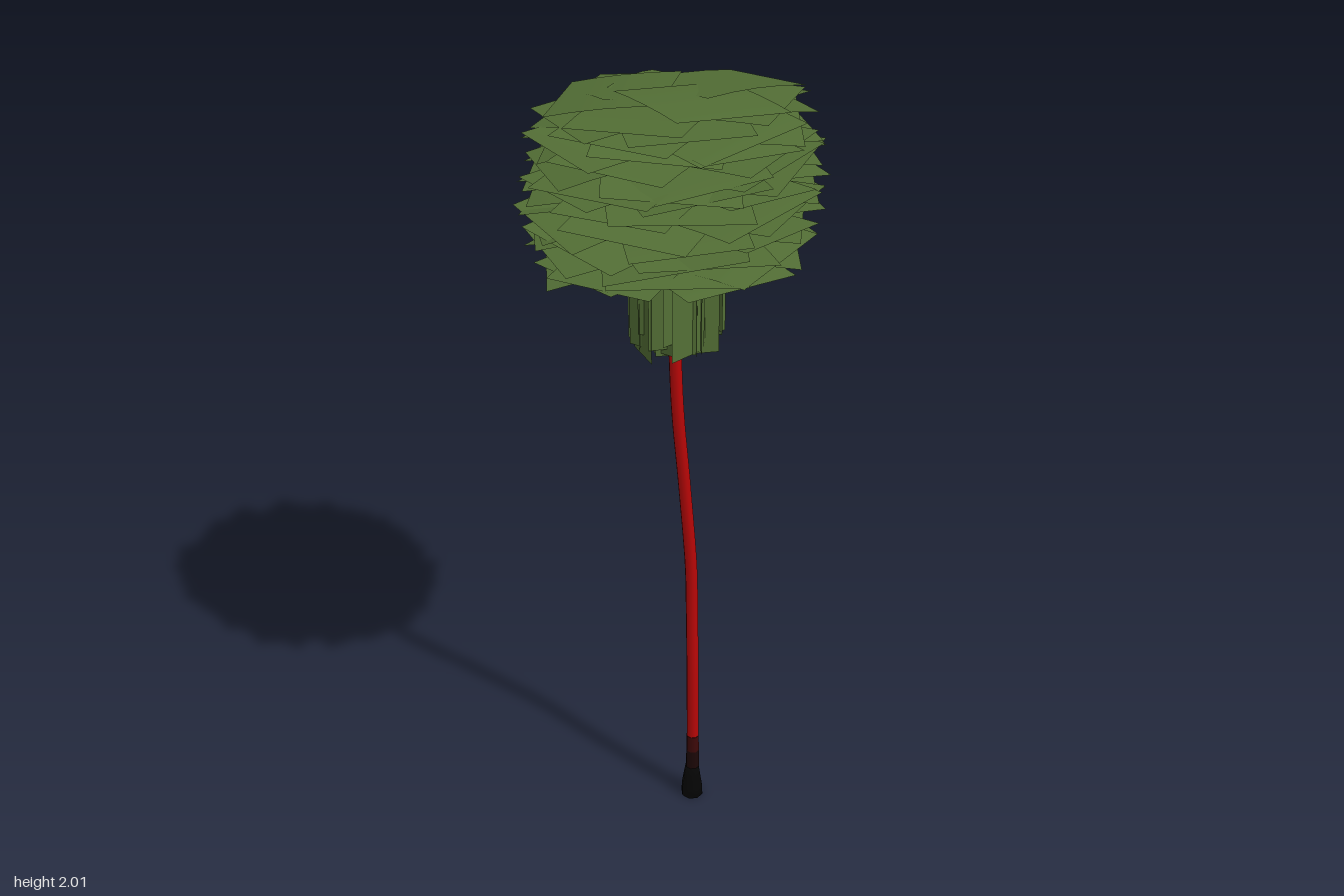
import * as THREE from 'three';

const mat = (name, color, side = THREE.FrontSide) => {
  const m = new THREE.MeshStandardMaterial({ color, side });
  m.name = name;
  return m;
};

// Small seeded generator so the foliage is always the same
function seeded(seed) {
  return () => {
    seed = (seed * 1664525 + 1013904223) % 4294967296;
    return seed / 4294967296;
  };
}

// Squarish leaf sheet running from the stem out along +z, raised by pitch, its tip bent down
function leafGeometry(width, length, droop, pitch) {
  const geo = new THREE.PlaneGeometry(width, length, 1, 4);
  geo.rotateX(-Math.PI / 2);
  geo.translate(0, 0, length / 2);
  const p = geo.attributes.position;
  for (let i = 0; i < p.count; i++) p.setY(i, -droop * (p.getZ(i) / length) ** 2);
  geo.rotateX(-pitch);
  geo.computeVertexNormals();
  return geo;
}

export function createModel() {
  const leafGreen = mat('leaf green', 0x547036, THREE.DoubleSide);
  const barkRed = mat('bark red', 0xb80707);
  const barkMaroon = mat('bark maroon', 0x3e0808);
  const barkDark = mat('dark bark', 0x1c0606);
  const rootBlack = mat('root black', 0x050505);
  const model = new THREE.Group();
  model.name = 'tree';
  const rand = seeded(17);

  const add = (parent, name, geo, material) => {
    const mesh = new THREE.Mesh(geo, material);
    mesh.name = name;
    parent.add(mesh);
    return mesh;
  };

  // Thin winding trunk, ending inside the hanging leaves
  const trunk = new THREE.CatmullRomCurve3([
    [0.01, 0.19, 0.106], [0.013, 0.4, 0.097], [0.019, 0.6, 0.08], [0.019, 0.72, 0.074],
    [0.004, 0.96, 0.066], [-0.012, 1.18, 0.059], [-0.015, 1.36, 0.05], [-0.01, 1.57, 0.03],
  ].map((p) => new THREE.Vector3(...p)));
  add(model, 'trunk', new THREE.TubeGeometry(trunk, 40, 0.016, 8), barkRed);

  // Darkening lower trunk and flared foot
  const upperRing = new THREE.CylinderGeometry(0.0165, 0.017, 0.05, 8);
  add(model, 'maroonTrunk', upperRing, barkMaroon).position.set(0.01, 0.175, 0.106);
  const lowerRing = new THREE.CylinderGeometry(0.017, 0.018, 0.055, 8);
  add(model, 'darkTrunk', lowerRing, barkDark).position.set(0.01, 0.1225, 0.106);
  const foot = new THREE.LatheGeometry(
    [[0, 0], [0.029, 0], [0.028, 0.03], [0.022, 0.07], [0.018, 0.095], [0, 0.095]]
      .map(([x, y]) => new THREE.Vector2(x, y)), 8);
  add(model, 'foot', foot, rootBlack).position.set(0.009, 0, 0.106);

  // Crown of overlapping sheets wound round the stem: front ones rise, back ones sink
  const crown = new THREE.Group();
  crown.name = 'crown';
  model.add(crown);
  const count = 90;
  for (let i = 0; i < count; i++) {
    const t = i / (count - 1);
    const angle = i * 2.39996 + 0.4 * rand();
    const length = (t < 0.85 ? 0.275 + 0.035 * Math.sin(Math.PI * t / 0.85) : 0.28 - 0.2 * (t - 0.85))
      + 0.015 * rand();
    const pitch = 0.08 * Math.cos(angle) + 0.1 * (rand() - 0.5);
    const geo = leafGeometry(0.27 + 0.06 * rand(), length, 0.01 + 0.025 * rand(), pitch);
    const leaf = add(crown, 'leaf', geo, leafGreen);
    leaf.position.y = 1.575 + 0.395 * t;
    leaf.rotation.set(-0.1, angle, (rand() - 0.5) * 0.26);
  }

  // Old leaves hanging round the stem under the crown
  const skirt = new THREE.Group();
  skirt.name = 'skirt';
  skirt.position.set(-0.004, 1.585, 0.023);
  model.add(skirt);
  for (let i = 0; i < 36; i++) {
    const height = 0.19 + 0.065 * rand();
    const geo = new THREE.PlaneGeometry(0.09 + 0.06 * rand(), height);
    geo.rotateY((rand() - 0.5) * 0.7);
    geo.translate(0, -height / 2, 0.05 + 0.035 * rand());
    const sheet = add(skirt, 'hangingLeaf', geo, leafGreen);
    sheet.rotation.y = i * 2.39996;
  }
  return model;
}
